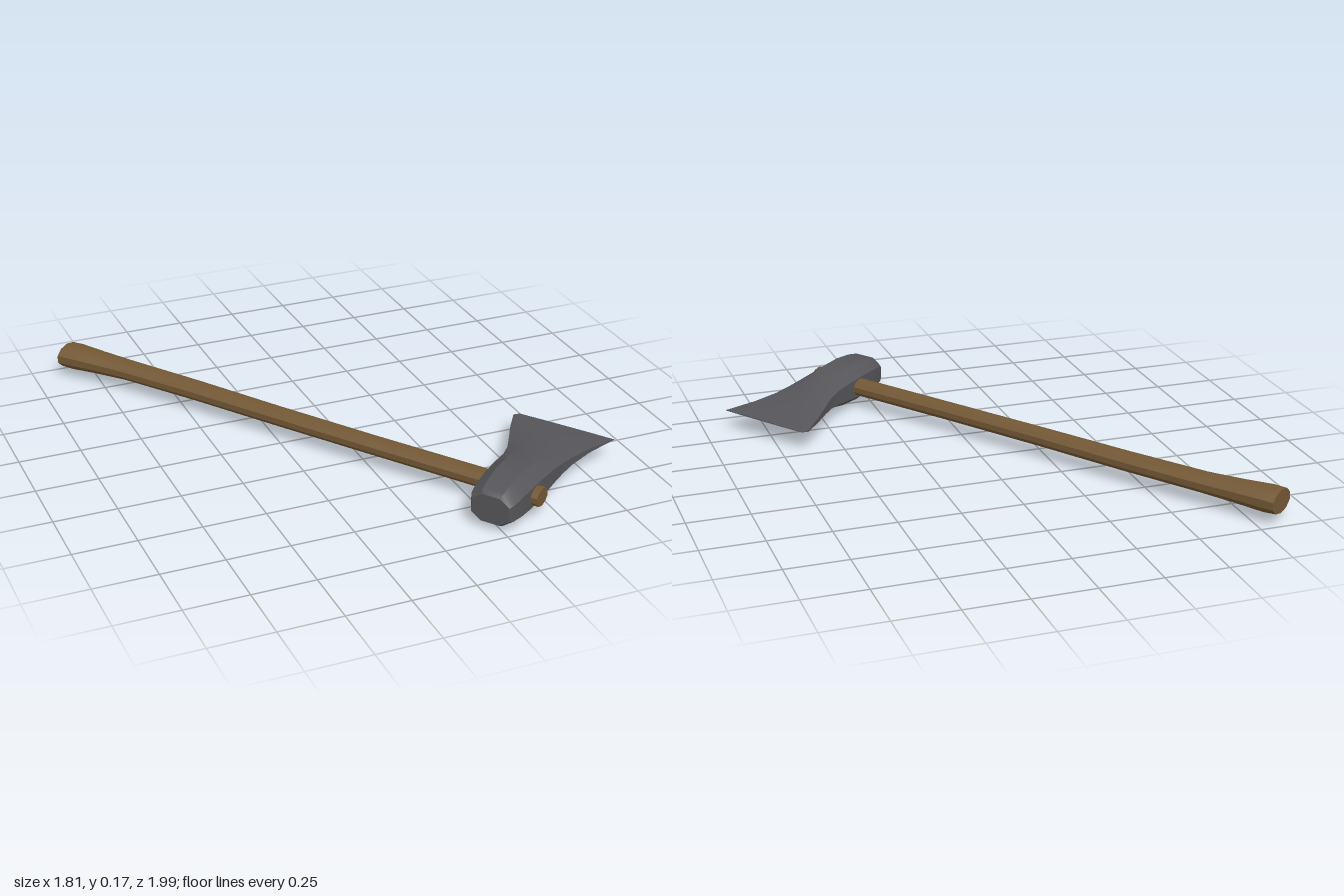
import * as THREE from 'three';
import { toCreasedNormals } from 'three/addons/utils/BufferGeometryUtils.js';

// Joins equal-length rings of points into a closed, capped solid
function loft(rings) {
  const n = rings[0].length, pos = [], index = [];
  rings.forEach(r => r.forEach(p => pos.push(...p)));
  rings.forEach((r, i) => {
    if (i === rings.length - 1) return;
    for (let j = 0; j < n; j++) {
      const a = i * n + j, b = i * n + (j + 1) % n;
      index.push(a, b, a + n, b, b + n, a + n);
    }
  });
  // end caps fan out from each ring's middle
  [0, rings.length - 1].forEach(i => {
    const mid = [0, 1, 2].map(k => rings[i].reduce((sum, p) => sum + p[k], 0) / n);
    const c = pos.length / 3;
    pos.push(...mid);
    for (let j = 0; j < n; j++) {
      const a = i * n + j, b = i * n + (j + 1) % n;
      if (i === 0) index.push(c, b, a); else index.push(c, a, b);
    }
  });
  const geo = new THREE.BufferGeometry();
  geo.setAttribute('position', new THREE.Float32BufferAttribute(pos, 3));
  geo.setIndex(index);
  return toCreasedNormals(geo, 0.55);
}

export function createModel() {
  const steel = new THREE.MeshStandardMaterial({ color: 0x56565a });
  steel.name = 'darkSteel';
  const wood = new THREE.MeshStandardMaterial({ color: 0x735835 });
  wood.name = 'brownWood';
  const MID = 0.086;

  // Handle runs along local z: [z, centre x, half width, half height]
  const handleStations = [
    [-1.273, -0.145, 0.07, 0.047], [-1.22, -0.143, 0.067, 0.051],
    [-1.1, -0.138, 0.059, 0.044], [-0.95, -0.133, 0.053, 0.038],
    [-0.6, -0.135, 0.049, 0.037], [-0.2, -0.147, 0.045, 0.036],
    [0.25, -0.155, 0.044, 0.035], [0.75, -0.159, 0.045, 0.035],
    [1.0, -0.172, 0.046, 0.035],
  ];
  const SIDES = 10;
  const handle = new THREE.Mesh(loft(handleStations.map(([z, cx, w, h]) =>
    Array.from({ length: SIDES }, (_, j) => {
      const a = (j + 0.5) / SIDES * Math.PI * 2;
      return [cx + w * Math.cos(a), MID + h * Math.sin(a) * 1.03, z];
    }))), wood);
  handle.name = 'handle';

  // Head runs along local x: [x, near z, far z, half thickness]
  const headStations = [
    [-0.357, 0.803, 0.96, 0.056], [-0.335, 0.79, 0.968, 0.067],
    [-0.28, 0.778, 0.972, 0.078], [-0.2, 0.766, 0.973, 0.084],
    [-0.1, 0.755, 0.97, 0.078], [0.0, 0.746, 0.966, 0.061],
    [0.07, 0.727, 0.967, 0.046], [0.14, 0.696, 0.972, 0.032],
    [0.25, 0.646, 0.991, 0.018], [0.36, 0.603, 1.024, 0.006],
    [0.384, 0.617, 1.034, 0.002],
  ];
  const head = new THREE.Mesh(loft(headStations.map(([x, z0, z1, h]) => {
    const inset = (z1 - z0) * 0.26, side = h * 0.5;
    return [
      [h, z0 + inset], [h, z1 - inset], [side, z1], [-side, z1],
      [-h, z1 - inset], [-h, z0 + inset], [-side, z0], [side, z0],
    ].map(([y, z]) => [x, MID + y, z]);
  })), steel);
  head.name = 'axeHead';

  // Lay the axe diagonally on the ground
  const axe = new THREE.Group();
  axe.name = 'axe';
  axe.add(handle, head);
  axe.rotation.y = 0.61;

  const model = new THREE.Group();
  model.add(axe);
  return model;
}
